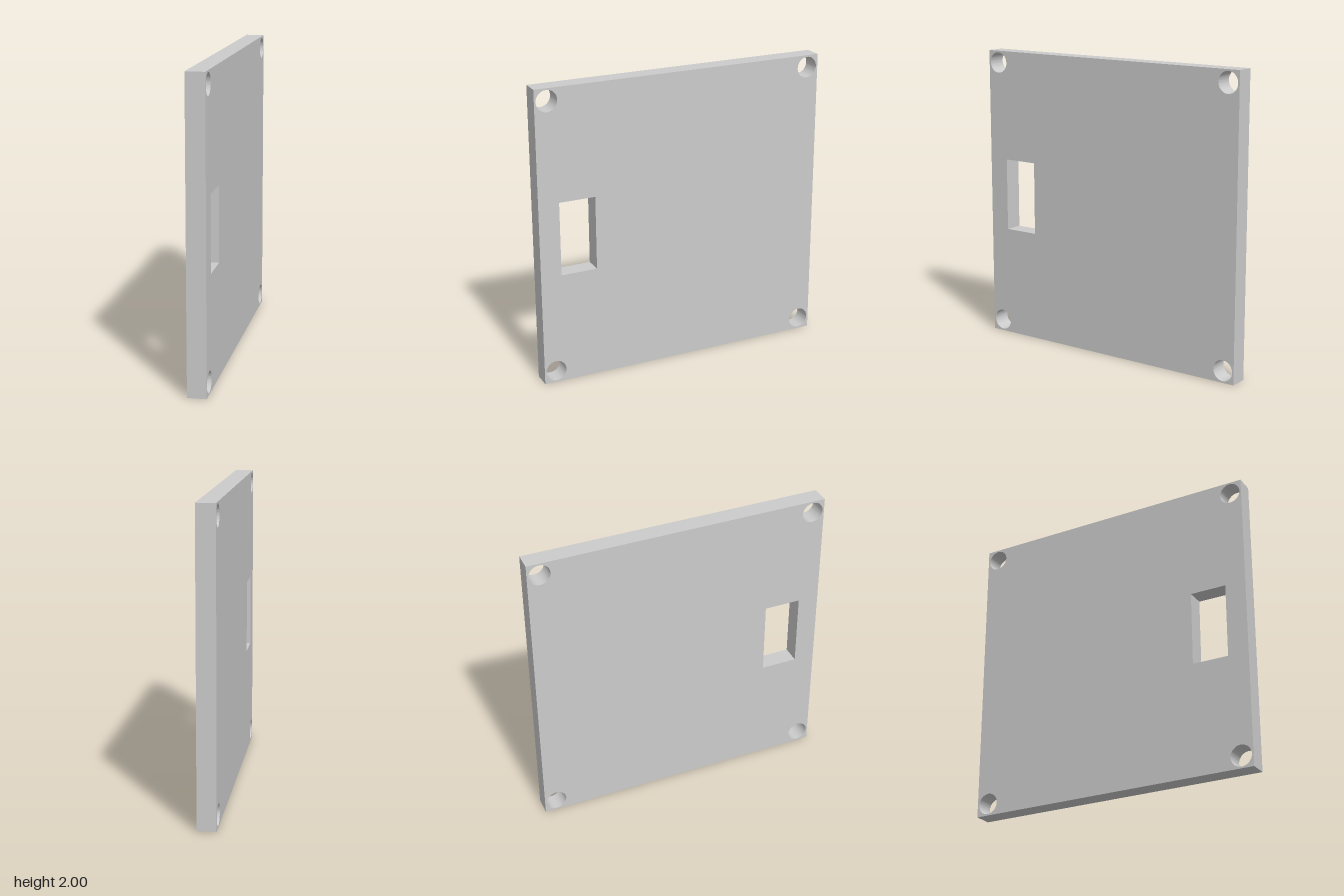
import * as THREE from 'three';
import { toCreasedNormals } from 'three/addons/utils/BufferGeometryUtils.js';

const THICKNESS = 0.123;

function rectangle(path, x0, y0, x1, y1) {
  path.moveTo(x0, y0);
  path.lineTo(x1, y0);
  path.lineTo(x1, y1);
  path.lineTo(x0, y1);
  path.closePath();
  return path;
}

export function createModel() {
  const group = new THREE.Group();
  group.name = 'mountingPlate';

  // Square plate outline; shape x becomes -z after the turn below
  const outline = rectangle(new THREE.Shape(), -1, 0, 1, 2);

  // Rectangular slot near the front edge
  outline.holes.push(rectangle(new THREE.Path(), -0.86, 0.754, -0.615, 1.25));

  // Round screw hole in each corner
  for (const x of [-0.919, 0.919]) {
    for (const y of [0.081, 1.919]) {
      outline.holes.push(new THREE.Path().absarc(x, y, 0.07, 0, Math.PI * 2, true));
    }
  }

  let geometry = new THREE.ExtrudeGeometry(outline, {
    depth: THICKNESS, bevelEnabled: false, curveSegments: 32,
  });
  geometry.translate(0, 0, -THICKNESS / 2);
  geometry.rotateY(Math.PI / 2);
  geometry = toCreasedNormals(geometry, Math.PI / 6);

  const plate = new THREE.Mesh(geometry, new THREE.MeshStandardMaterial({ color: 0xcccccc }));
  plate.name = 'plate';
  group.add(plate);
  return group;
}
